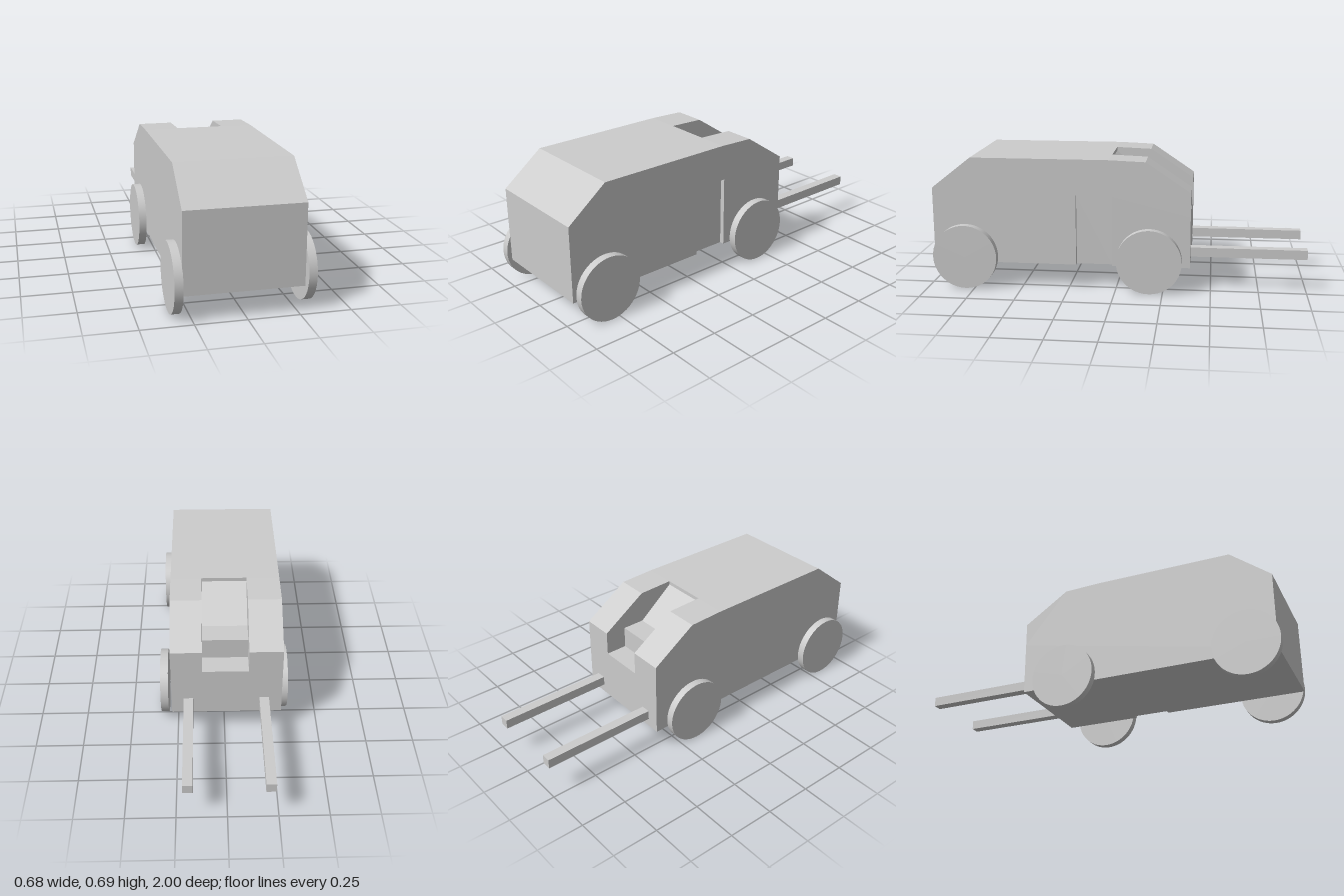
import * as THREE from 'three';
import { mergeGeometries } from 'three/addons/utils/BufferGeometryUtils.js';

const material = new THREE.MeshStandardMaterial({ color: 0xcccccc });

// Sheet swept along x from a [z, y] path; it faces left of the path's travel, front going up
function strip(path, x0, x1) {
  const positions = [];
  for (let i = 0; i < path.length - 1; i++) {
    const [az, ay] = path[i];
    const [bz, by] = path[i + 1];
    positions.push(x0, ay, az, x1, ay, az, x1, by, bz);
    positions.push(x0, ay, az, x1, by, bz, x0, by, bz);
  }
  const geo = new THREE.BufferGeometry();
  geo.setAttribute('position', new THREE.Float32BufferAttribute(positions, 3));
  geo.computeVertexNormals();
  return geo;
}

// Flat [z, y] panel at a given x, facing +x or -x
function panel(outline, x, facing) {
  const shape = new THREE.Shape(outline.map(([z, y]) => new THREE.Vector2(-facing * z, y)));
  const geo = new THREE.ShapeGeometry(shape).toNonIndexed();
  geo.deleteAttribute('uv');
  return geo.rotateY(facing * Math.PI / 2).translate(x, 0, 0);
}

function add(group, name, geometry, x = 0, y = 0, z = 0) {
  const mesh = new THREE.Mesh(geometry, material);
  mesh.name = name;
  mesh.position.set(x, y, z);
  group.add(mesh);
}

export function createModel() {
  const model = new THREE.Group();
  model.name = 'wagon';

  const xR = -0.30, xL = 0.278;          // body sides
  const seatR = -0.125, seatL = 0.115;   // driver's opening
  const doorX = 0.253, floorY = 0.13;
  const footY = 0.405, seatY = 0.52;

  // Outline pieces in [z, y]
  const noseAndRoof = [[0.975, floorY], [0.975, 0.53], [0.765, 0.695], [0.035, 0.695]];
  const rearSlope = [[0.035, 0.695], [-0.155, 0.688], [-0.39, 0.53], [-0.39, footY]];
  const seatSteps = [[0.035, 0.695], [0.035, 0.675], [-0.155, seatY], [-0.275, seatY],
    [-0.275, footY], [-0.39, footY]];
  const door = [[0.02, floorY], [0.02, 0.505], [0.21, 0.505], [0.21, floorY]];
  const outline = [...noseAndRoof, ...rearSlope.slice(1), [-0.39, floorY]];
  const seatCheek = [...rearSlope, ...seatSteps.slice(1, -1).reverse()];

  add(model, 'body', mergeGeometries([
    strip(noseAndRoof, xR, xL),
    strip(rearSlope, xR, seatR),
    strip(rearSlope, seatL, xL),
    strip([[-0.39, footY], [-0.39, floorY]], xR, xL),
    // underside, notched for the doorway
    strip([[-0.39, floorY], [0.975, floorY]], xR, doorX),
    strip([[-0.39, floorY], door[0]], doorX, xL),
    strip([door[3], [0.975, floorY]], doorX, xL),
    // sides
    panel(outline, xR, -1),
    panel([...outline, ...door], xL, 1),
  ]));

  // Sunken driver's seat with its two cheeks
  add(model, 'driverSeat', mergeGeometries([
    strip(seatSteps, seatR, seatL),
    panel(seatCheek, seatR, 1),
    panel(seatCheek, seatL, -1),
  ]));

  // Shallow doorway on the left side
  add(model, 'doorway', mergeGeometries([
    strip(door, doorX, xL),
    panel(door, doorX, 1),
  ]));

  // Wheels: each side is set a little differently along the body
  const wheel = new THREE.CylinderGeometry(0.171, 0.171, 0.041, 48).rotateZ(Math.PI / 2);
  add(model, 'frontLeftWheel', wheel, 0.319, 0.171, 0.797);
  add(model, 'rearLeftWheel', wheel, 0.319, 0.171, -0.178);
  add(model, 'frontRightWheel', wheel, -0.319, 0.171, 0.829);
  add(model, 'rearRightWheel', wheel, -0.319, 0.171, -0.149);

  // Pulling shafts
  const shaft = new THREE.BoxGeometry(0.05, 0.05, 0.61);
  add(model, 'leftShaft', shaft, 0.19, 0.2, -0.695);
  add(model, 'rightShaft', shaft, -0.208, 0.2, -0.695);

  return model;
}
